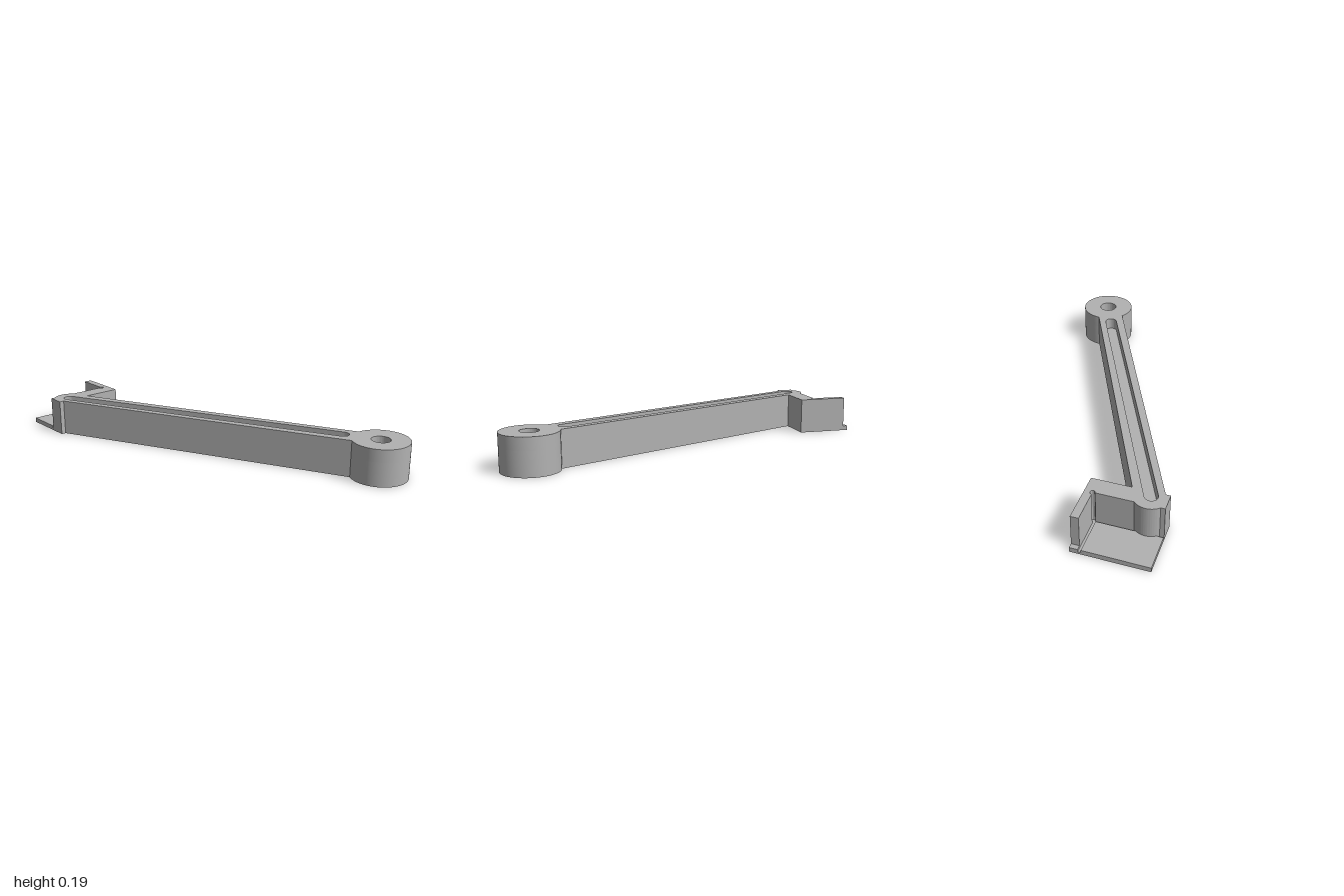
import * as THREE from 'three';
import { toCreasedNormals } from 'three/addons/utils/BufferGeometryUtils.js';

const HEIGHT = 0.19, SLOT_FLOOR = 0.125, BASE = 0.025, GROOVE_FLOOR = 0.012;
const HUB = { x: 0.345, y: -0.855, r: 0.145, hole: 0.048 };
const BOSS = { x: -0.41, y: 0.74, r: 0.085 };
const HALF_ARM = 0.0715;

// Plan shapes are drawn with y pointing to the back (-z)
function outline() {
  const a = Math.atan2(BOSS.y - HUB.y, BOSS.x - HUB.x);
  const b = Math.asin(HALF_ARM / HUB.r);
  const c = Math.asin(0.06 / BOSS.r);
  const s = new THREE.Shape();
  s.absarc(HUB.x, HUB.y, HUB.r, a + b, a - b + Math.PI * 2, false);
  // right edge of the arm, then the corner bracket walls
  [[-0.312, 0.71], [-0.115, 0.71], [-0.115, 0.975], [-0.155, 0.975]].forEach(p => s.lineTo(...p));
  s.absarc(-0.155, 0.80, 0.012, Math.PI / 2, -Math.PI, true); // corner relief
  s.absarc(BOSS.x, BOSS.y, BOSS.r, c, Math.PI - c, false);
  [[-0.492, 0.80], [-0.492, 0.71], [-0.468, 0.71]].forEach(p => s.lineTo(...p));
  s.closePath();
  const hole = new THREE.Path();
  hole.absarc(HUB.x, HUB.y, HUB.hole, 0, Math.PI * 2, true);
  s.holes.push(hole);
  return s;
}

// Long rounded slot along the arm
function slot() {
  const r = 0.032, end = { x: 0.268, y: -0.683 };
  const a = Math.atan2(BOSS.y - end.y, BOSS.x - end.x), q = Math.PI / 2;
  const p = new THREE.Path();
  p.absarc(BOSS.x, BOSS.y, r, a - q, a + q, false);
  p.absarc(end.x, end.y, r, a + q, a + 3 * q, false);
  p.closePath();
  return p;
}

export function createModel() {
  const group = new THREE.Group();
  const grey = new THREE.MeshStandardMaterial({ color: 0xb2b2b2 });
  grey.name = 'grey';

  const add = (name, geometry) => {
    const mesh = new THREE.Mesh(geometry, grey);
    mesh.name = name;
    group.add(mesh);
    return mesh;
  };
  const slab = (name, shape, y0, y1) => {
    const g = new THREE.ExtrudeGeometry(shape, { depth: y1 - y0, bevelEnabled: false, curveSegments: 40 });
    g.rotateX(-Math.PI / 2).translate(0, y0, 0);
    return add(name, toCreasedNormals(g, 0.6));
  };
  const box = (name, x0, x1, y0, y1, z0, z1) =>
    add(name, new THREE.BoxGeometry(x1 - x0, y1 - y0, z1 - z0)
      .translate((x0 + x1) / 2, (y0 + y1) / 2, (z0 + z1) / 2));

  // Arm, hub and bracket walls: solid below, slotted above
  slab('lowerBody', outline(), 0, SLOT_FLOOR);
  const upper = outline();
  upper.holes.push(slot());
  slab('upperBody', upper, SLOT_FLOOR, HEIGHT);

  // Bracket floor with a shallow groove along both walls
  box('grooveFloor', -0.492, -0.155, 0, GROOVE_FLOOR, -1, -0.80);
  box('bracketFloor', -0.492, -0.17, GROOVE_FLOOR, BASE, -1, -0.81);
  box('floorLip', -0.155, -0.115, 0, BASE, -1, -0.975);
  add('reliefFloor', new THREE.CylinderGeometry(0.012, 0.012, GROOVE_FLOOR, 20)
    .translate(-0.155, GROOVE_FLOOR / 2, -0.80));

  return group;
}
